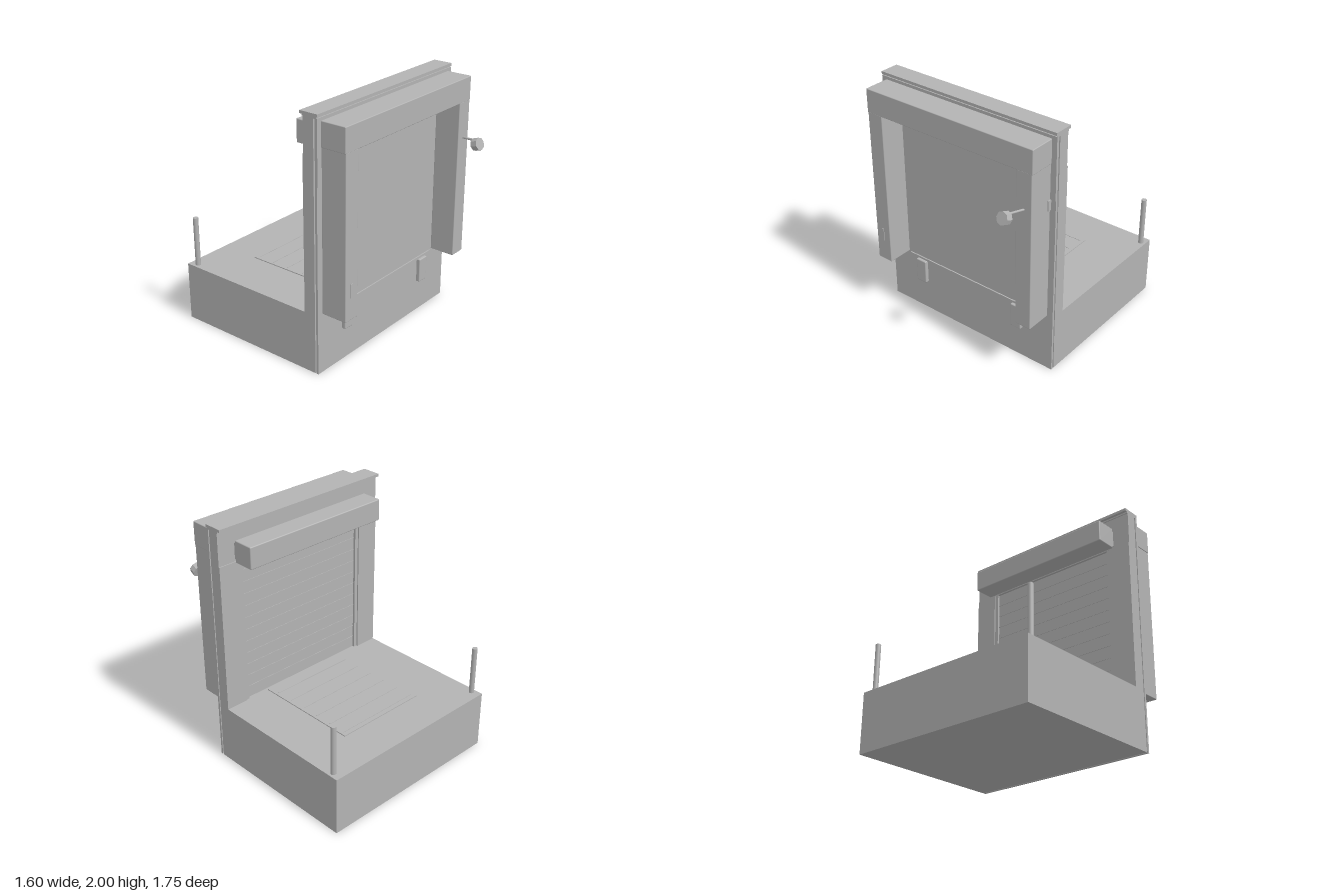
import * as THREE from 'three';
import { RoundedBoxGeometry } from 'three/addons/geometries/RoundedBoxGeometry.js';

export function createModel() {
  const model = new THREE.Group();
  model.name = 'loadingDock';
  const grey = new THREE.MeshStandardMaterial({ color: 0xb3b3b3 });
  grey.name = 'plain grey';

  const add = (name, geometry) => {
    const mesh = new THREE.Mesh(geometry, grey);
    mesh.name = name;
    model.add(mesh);
    return mesh;
  };
  // Boxes are given by their [min, max] extents on each axis
  const box = (name, [x0, x1], [y0, y1], [z0, z1], radius = 0) => {
    const size = [x1 - x0, y1 - y0, z1 - z0];
    const geometry = radius
      ? new RoundedBoxGeometry(...size, 2, radius)
      : new THREE.BoxGeometry(...size);
    const mesh = add(name, geometry);
    mesh.position.set((x0 + x1) / 2, (y0 + y1) / 2, (z0 + z1) / 2);
    return mesh;
  };
  const mirrored = (name, [x0, x1], y, z, radius) => {
    box(name + 'Left', [x0, x1], y, z, radius);
    box(name + 'Right', [-x1, -x0], y, z, radius);
  };
  const rod = (name, from, to, r, sides) => {
    const a = new THREE.Vector3(...from), b = new THREE.Vector3(...to);
    const mesh = add(name, new THREE.CylinderGeometry(r, r, a.distanceTo(b), sides));
    mesh.position.copy(a).lerp(b, 0.5);
    mesh.quaternion.setFromUnitVectors(new THREE.Vector3(0, 1, 0), b.sub(a).normalize());
    return mesh;
  };

  // Floor block and rear wall around the doorway
  box('floorBlock', [-0.8, 0.8], [0, 0.48], [-0.875, 0.437]);
  mirrored('wallPillar', [0.61, 0.8], [0.48, 1.7], [0.34, 0.437]);
  box('wallLintel', [-0.8, 0.8], [1.7, 1.97], [0.348, 0.437]);
  box('wallCapNeck', [-0.8, 0.8], [1.965, 1.98], [0.34, 0.462]);
  box('wallCap', [-0.8, 0.8], [1.978, 2], [0.318, 0.474]);

  // Thin front cladding, standing just off the wall
  box('frontCladding', [-0.8, 0.8], [0, 1.48], [0.447, 0.465]);
  box('upperCladding', [-0.8, 0.8], [1.48, 1.97], [0.449, 0.471]);

  // Shutter with slat joints, side guides and roller housing
  box('shutter', [-0.61, 0.61], [0.48, 1.7], [0.368, 0.437]);
  for (let i = 0; i < 11; i++) {
    const y = 0.58 + i * 0.102;
    box('shutterRib', [-0.58, 0.58], [y - 0.002, y + 0.002], [0.364, 0.368]);
  }
  mirrored('shutterGuide', [0.58, 0.61], [0.48, 1.7], [0.35, 0.37]);
  box('rollerHousing', [-0.655, 0.655], [1.695, 1.872], [0.16, 0.335], 0.008);
  mirrored('housingBracket', [0.61, 0.65], [1.72, 1.85], [0.33, 0.35]);

  // Leveller plate, its ribs and the front lip
  box('levellerPlate', [-0.395, 0.395], [0.478, 0.487], [-0.54, 0.34]);
  for (let i = 0; i < 6; i++) {
    const z = 0.24 - i * 0.148;
    box('levellerRib', [-0.37, 0.37], [0.486, 0.49], [z - 0.002, z + 0.002]);
  }
  box('dockLip', [-0.605, 0.605], [0.46, 0.482], [0.46, 0.475]);

  // Front shelter
  mirrored('shelterPost', [0.62, 0.755], [0.488, 1.764], [0.468, 0.68], 0.006);
  box('shelterHeader', [-0.76, 0.76], [1.757, 1.947], [0.468, 0.68], 0.006);
  box('postPlate', [-0.7, -0.68], [0.665, 0.775], [0.678, 0.685]);
  box('sideSwitch', [0.754, 0.764], [1.4, 1.48], [0.47, 0.5]);

  // Bumpers
  mirrored('bumper', [0.43, 0.527], [0.264, 0.464], [0.462, 0.497], 0.008);

  // Dock lamp on a slim arm
  rod('lampArm', [0.69, 1.472, 0.675], [0.655, 1.488, 0.812], 0.009, 8);
  const lamp = rod('lampHead', [0.648, 1.455, 0.808], [0.644, 1.473, 0.857], 0.05, 8);
  lamp.geometry = lamp.geometry.toNonIndexed();
  lamp.geometry.computeVertexNormals();

  // Rear guard posts
  for (const side of [-1, 1])
    rod('guardPost', [side * 0.76, 0.47, -0.8], [side * 0.76, 0.885, -0.8], 0.021, 16);

  return model;
}
